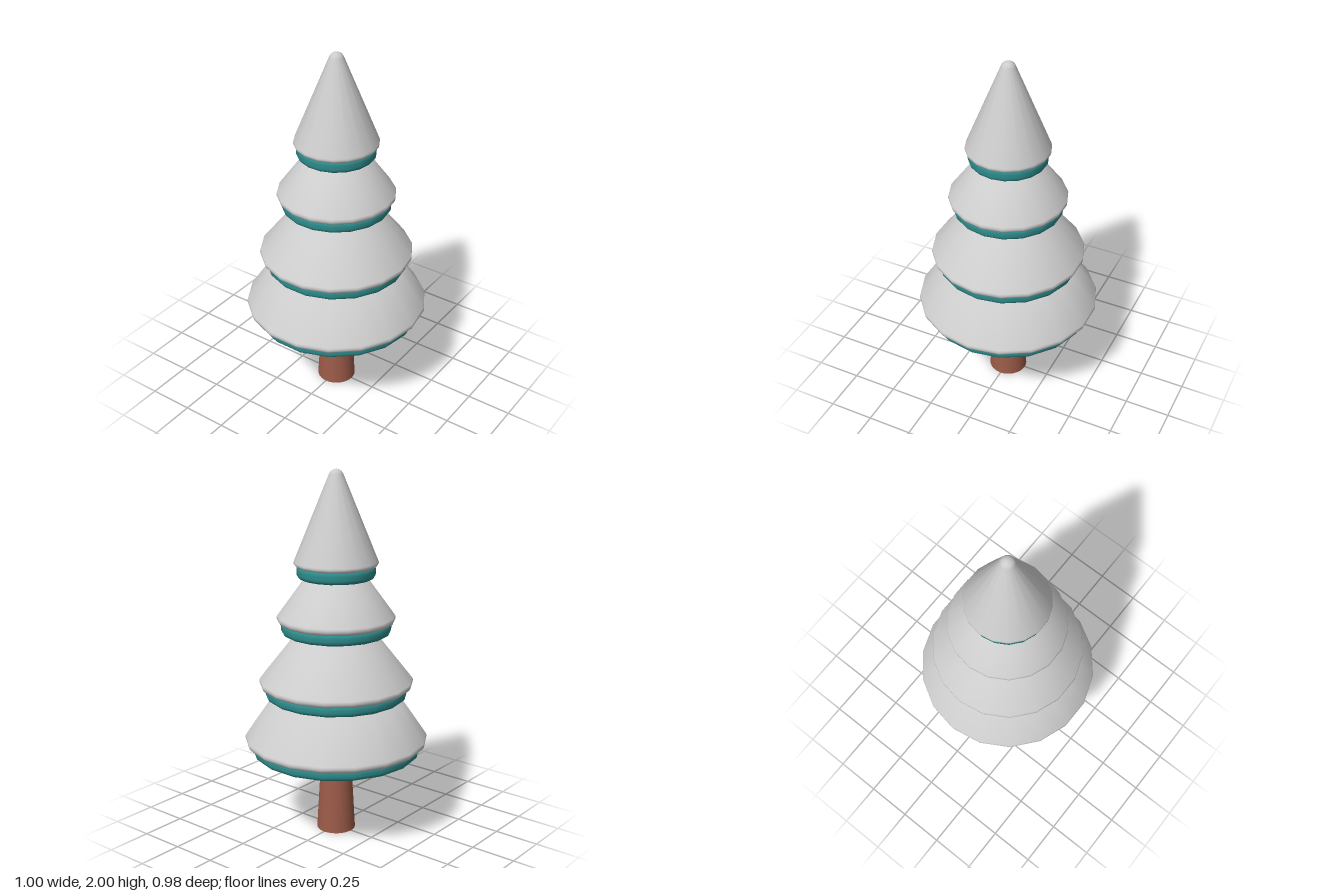
import * as THREE from 'three';

const SIDES = 18;

// Revolve a bottom-to-top [radius, height] profile, with a corner on the +x axis
function revolve(name, profile, material, sides = SIDES) {
  const points = profile.map(([r, y]) => new THREE.Vector2(r, y));
  const mesh = new THREE.Mesh(new THREE.LatheGeometry(points, sides, Math.PI / 2), material);
  mesh.name = name;
  return mesh;
}

// Points on an arc of the profile, angles in degrees
function arc(cx, cy, radius, from, to, steps) {
  return Array.from({ length: steps + 1 }, (_, i) => {
    const a = THREE.MathUtils.degToRad(from + ((to - from) * i) / steps);
    return [Math.max(0, cx + radius * Math.cos(a)), cy + radius * Math.sin(a)];
  });
}

export function createModel() {
  const tree = new THREE.Group();
  tree.name = 'tree';
  const foliage = new THREE.MeshStandardMaterial({ color: 0xcccccc });
  const teal = new THREE.MeshStandardMaterial({ color: 0x2d8a8a });
  const bark = new THREE.MeshStandardMaterial({ color: 0x9c5b48, side: THREE.DoubleSide });

  // Tapered open trunk
  tree.add(revolve('trunk', [[0.107, 0], [0.08, 0.47]], bark, 32));

  // Tiers: rim radius, underside height, top radius, top height, band radius, band underside
  const tiers = [
    [0.5, 0.515, 0.335, 0.79, 0.462, 0.457],
    [0.418, 0.837, 0.205, 1.14, 0.388, 0.778],
    [0.318, 1.19, 0.16, 1.44, 0.296, 1.13],
    [0.225, 1.495, 0.038, 1.975, 0.21, 1.43],
  ];
  tiers.forEach(([rim, y, topR, topY, bandR, bandY], i) => {
    const last = i === tiers.length - 1;
    const round = last ? 0.018 : 0.025;
    // Sloping skirt with a rounded rim; the highest one ends in a rounded tip
    const end = last ? arc(0, 1.96, 0.04, 22, 90, 6) : [[topR, topY], [0, topY]];
    tree.add(revolve('foliageTier' + (i + 1), [
      [0, y], [rim - 0.06, y],
      ...arc(rim - round, y + round, round, -90, 30, 6),
      ...end,
    ], foliage));

    // Rounded band under the skirt, closed below
    const h = y + 0.004 - bandY;
    const r = 0.024;
    tree.add(revolve('band' + (i + 1), [
      [0, bandY], [bandR - 0.04, bandY],
      ...arc(bandR - r, bandY + r, r, -90, 0, 4),
      ...arc(bandR - r, bandY + h - r, r, 0, 90, 4),
      [0, bandY + h],
    ], teal));
  });
  return tree;
}
